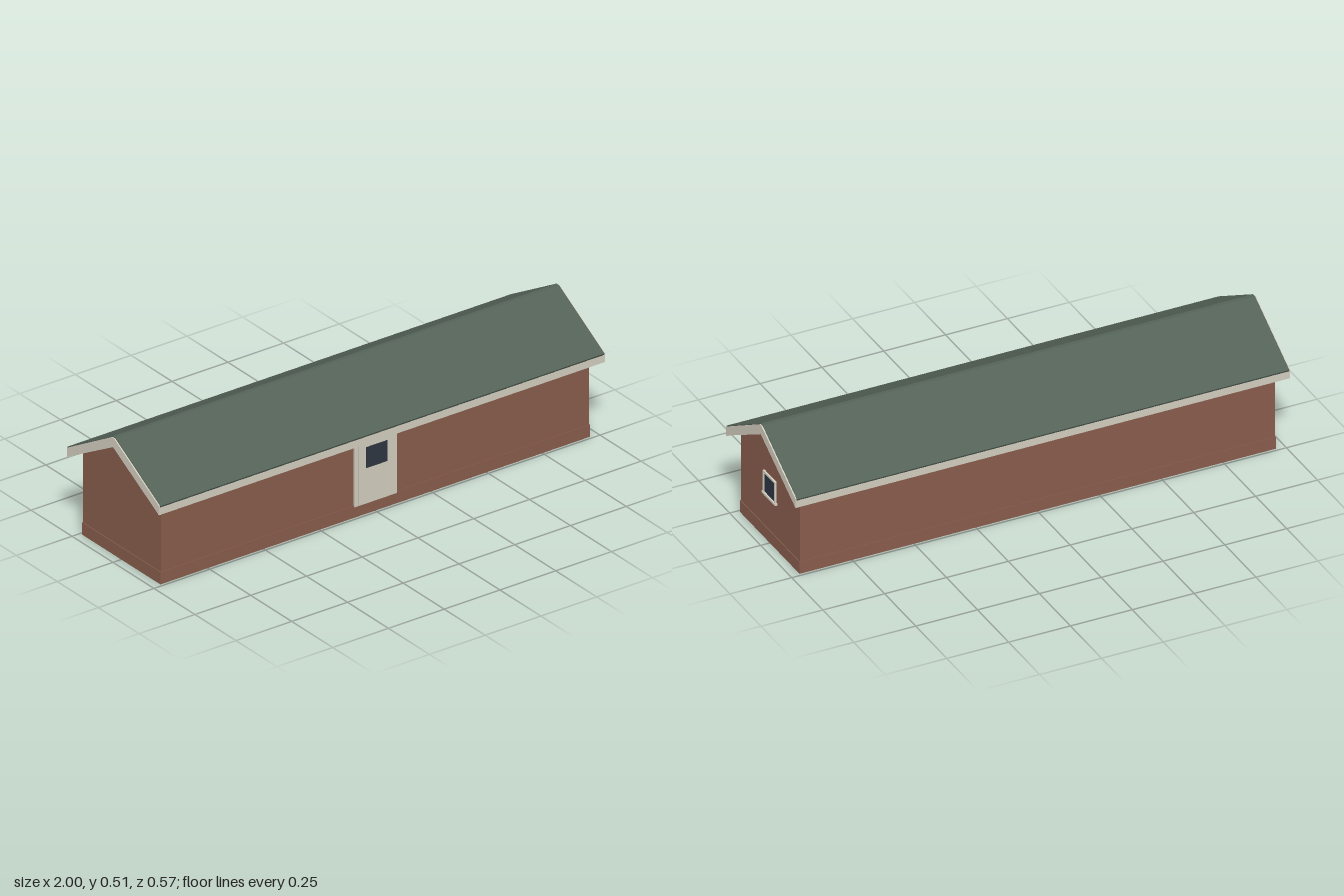
import * as THREE from 'three';

const mat = (name, color) => {
  const m = new THREE.MeshStandardMaterial({ color });
  m.name = name;
  return m;
};

export function createModel() {
  const house = new THREE.Group();
  house.name = 'longHouse';
  const brick = mat('brick', 0x875c4c);
  const trim = mat('creamTrim', 0xd2ccbe);
  const green = mat('greenRoof', 0x546257);
  const glass = mat('darkGlass', 0x2d3542);

  const add = (name, geometry, material, parent = house) => {
    const mesh = new THREE.Mesh(geometry, material);
    mesh.name = name;
    parent.add(mesh);
    return mesh;
  };
  // Box given by its lower and upper corners
  const box = (name, a, b, material, parent) => {
    const mesh = add(name, new THREE.BoxGeometry(b[0] - a[0], b[1] - a[1], b[2] - a[2]), material, parent);
    mesh.position.set((a[0] + b[0]) / 2, (a[1] + b[1]) / 2, (a[2] + b[2]) / 2);
    return mesh;
  };
  // Profile of [z, y] points extruded along x from x0 to x1
  const alongX = (name, points, x0, x1, material) => {
    const shape = new THREE.Shape(points.map(([z, y]) => new THREE.Vector2(-z, y)));
    const g = new THREE.ExtrudeGeometry(shape, { depth: x1 - x0, bevelEnabled: false });
    g.rotateY(Math.PI / 2).translate(x0, 0, 0);
    return add(name, g, material);
  };

  // Walls on a slightly wider plinth, with gables above
  box('plinth', [-0.963, 0, -0.239], [0.963, 0.05, 0.239], brick);
  box('walls', [-0.96, 0.05, -0.237], [0.96, 0.35, 0.237], brick);
  alongX('gables', [[-0.237, 0.35], [0.237, 0.35], [0, 0.485]], -0.96, 0.96, brick);

  // Pitched roof slab
  alongX('roof', [
    [-0.285, 0.35], [-0.277, 0.335], [0, 0.492], [0.277, 0.335],
    [0.285, 0.35], [0.008, 0.511], [-0.008, 0.511],
  ], -0.995, 0.995, green);

  // Bargeboards at both ends
  for (const s of [-1, 1]) {
    alongX('bargeboard', [
      [-0.28, 0.312], [0, 0.471], [0.28, 0.312],
      [0.28, 0.349], [0.008, 0.508], [-0.008, 0.508], [-0.28, 0.349],
    ], s > 0 ? 0.985 : -1, s > 0 ? 1 : -0.985, trim);
    // Eaves fascia
    box('eavesFascia', [-1, 0.312, s > 0 ? 0.274 : -0.281], [1, 0.342, s > 0 ? 0.281 : -0.274], trim);
  }

  // Front door
  const door = new THREE.Group();
  door.name = 'frontDoor';
  house.add(door);
  box('doorFrame', [-0.095, 0.045, 0.236], [0.095, 0.323, 0.244], trim, door);
  box('doorPanel', [-0.08, 0.05, 0.244], [0.08, 0.31, 0.248], trim, door);
  box('doorGlass', [-0.048, 0.193, 0.248], [0.048, 0.278, 0.25], glass, door);

  // Window in the left gable wall
  const win = new THREE.Group();
  win.name = 'gableWindow';
  house.add(win);
  box('windowGlass', [0.959, 0.192, -0.044], [0.963, 0.28, 0.044], glass, win);
  for (const s of [-1, 1]) {
    box('windowJamb', [0.959, 0.192, s * 0.0455 - 0.004], [0.967, 0.284, s * 0.0455 + 0.004], trim, win);
  }
  box('windowHead', [0.959, 0.276, -0.0495], [0.967, 0.284, 0.0495], trim, win);
  box('windowSill', [0.959, 0.187, -0.054], [0.97, 0.195, 0.054], trim, win);

  return house;
}
